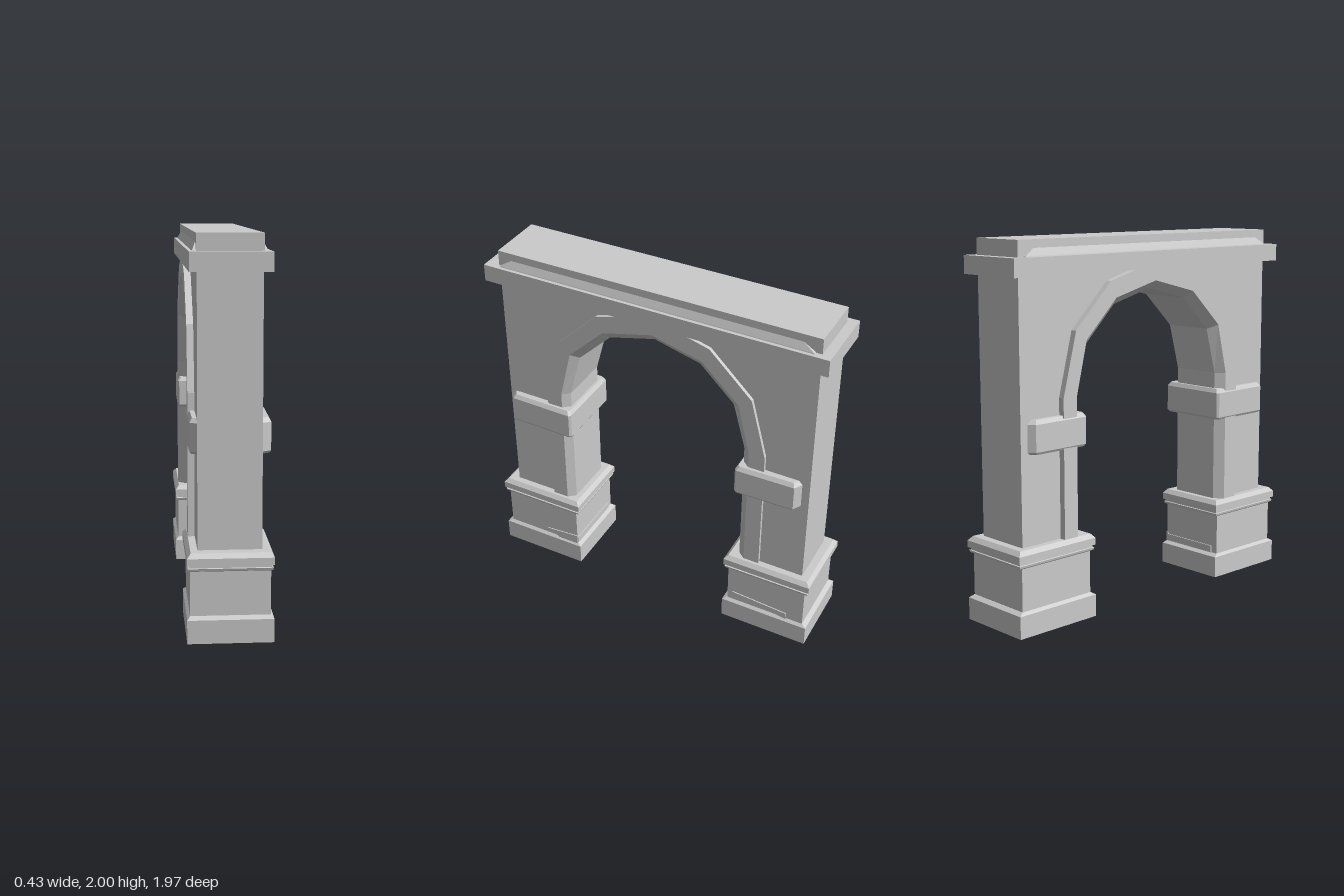
import * as THREE from 'three';

const material = new THREE.MeshStandardMaterial({ color: 0xcccccc, flatShading: true });

// Skin a series of equal closed rings of [x, y, z], with flat end caps.
function loft(rings) {
  const out = [];
  const n = rings[0].length;
  const tri = (a, b, c) => out.push(...a, ...b, ...c);
  for (let i = 0; i < rings.length - 1; i++) {
    for (let j = 0; j < n; j++) {
      const k = (j + 1) % n;
      tri(rings[i][j], rings[i][k], rings[i + 1][k]);
      tri(rings[i][j], rings[i + 1][k], rings[i + 1][j]);
    }
  }
  const first = rings[0], last = rings[rings.length - 1];
  for (let k = 1; k < n - 1; k++) {
    tri(first[0], first[k + 1], first[k]);
    tri(last[0], last[k], last[k + 1]);
  }
  const g = new THREE.BufferGeometry();
  g.setAttribute('position', new THREE.Float32BufferAttribute(out, 3));
  g.computeVertexNormals();
  return g;
}

// Stacked rectangles: levels are [y, halfX, halfZ].
const stack = (levels) => loft(levels.map(([y, hx, hz]) =>
  [[hx, y, hz], [hx, y, -hz], [-hx, y, -hz], [-hx, y, hz]]));

// Extrude a (z, y) outline along x, between x0 and x1.
function slab(points, x0, x1) {
  const shape = new THREE.Shape(points.map(([z, y]) => new THREE.Vector2(z, y)));
  const g = new THREE.ExtrudeGeometry(shape, { depth: x1 - x0, bevelEnabled: false });
  return g.rotateY(-Math.PI / 2).translate(x1, 0, 0);
}

// Half of a pointed arch, mirrored to the other leg.
const ARCH_Z = -0.007;
function archLine(half) {
  const right = half.slice(0, -1).reverse().map(([z, y]) => [-z, y]);
  return [...half, ...right].map(([z, y]) => [z + ARCH_Z, y]);
}

export function createModel() {
  const model = new THREE.Group();
  const add = (name, geometry, z = 0, parent = model) => {
    const mesh = new THREE.Mesh(geometry, material);
    mesh.name = name;
    mesh.position.z = z;
    parent.add(mesh);
    return mesh;
  };

  const inner = archLine([[0.528, 0.44], [0.528, 1.196], [0.458, 1.455], [0.263, 1.645], [0, 1.714]]);
  const middle = archLine([[0.569, 0.44], [0.569, 1.196], [0.5, 1.48], [0.29, 1.683], [0, 1.757]]);
  const outer = archLine([[0.659, 0.44], [0.659, 1.196], [0.571, 1.534], [0.328, 1.772], [0, 1.862]]);

  // Wall with the arched opening cut out of its lower edge
  add('wall', slab([[0.91, 0.44], ...middle, [-0.92, 0.44], [-0.92, 1.9], [0.91, 1.9]], -0.16, 0.16));

  // Raised arch moulding with chamfered lip and the reveal
  add('archMoulding', loft(inner.map((p, i) => {
    const [m, o] = [middle[i], outer[i]];
    return [
      [0.15, ...swap(o)], [0.18, ...swap(o)], [0.18, ...swap(m)], [0.145, ...swap(p)],
      [-0.145, ...swap(p)], [-0.195, ...swap(m)], [-0.195, ...swap(o)], [-0.15, ...swap(o)],
    ];
  })));

  // Cornice, weathered slope and coping
  add('cornice', stack([[1.82, 0.2, 0.98], [1.915, 0.2, 0.98]]), 0.005);
  add('corniceSlope', stack([[1.91, 0.183, 0.895], [1.92, 0.18, 0.89], [1.96, 0.162, 0.825]]), 0.005);
  add('coping', stack([[1.9, 0.163, 0.917], [2, 0.163, 0.917]]), -0.005);

  for (const side of [1, -1]) {
    const pier = new THREE.Group();
    pier.name = side > 0 ? 'frontPier' : 'backPier';
    model.add(pier);

    // Pedestal: plinth, dado and moulded cap
    const z = side * 0.7275;
    add('plinth', stack([[0, 0.215, 0.257], [0.12, 0.215, 0.257], [0.135, 0.2, 0.232]]), z, pier);
    add('dado', stack([[0.12, 0.2, 0.23], [0.37, 0.2, 0.23]]), z, pier);
    add('pedestalCap', stack([
      [0.362, 0.2, 0.235], [0.368, 0.208, 0.248], [0.38, 0.211, 0.252], [0.382, 0.204, 0.245],
      [0.392, 0.204, 0.245], [0.395, 0.215, 0.257], [0.432, 0.215, 0.257], [0.455, 0.196, 0.236],
    ]), z, pier);

    // Impost block wrapping the inner side of the pier, tapered outwards
    const near = side > 0 ? 0.493 : 0.51, far = side > 0 ? 0.9 : 0.88;
    let plan = [
      [0.155, far], [0.205, far - 0.03], [0.212, near + 0.012], [0.2, near],
      [-0.19, near], [-0.2, near + 0.012], [-0.196, far - 0.03], [-0.155, far],
    ];
    if (side < 0) plan = plan.map(([x, pz]) => [x, -pz]).reverse();
    const mid = side * (near + far) / 2;
    add('impost', loft([[0.93, 0.96], [0.943, 1], [1.085, 1], [1.107, 0.93]].map(([y, s]) =>
      plan.map(([x, pz]) => [x * s, y, mid + (pz - mid) * s]))), 0, pier);
  }

  // Thin chipped ledges on the dados
  add('frontChip', slab([[0.495, 0.13], [0.62, 0.13], [0.7, 0.172], [0.495, 0.188]], 0.19, 0.206));
  add('frontInnerChip', new THREE.BoxGeometry(0.36, 0.04, 0.012).translate(0.02, 0.155, 0.497));
  add('backChip', slab([[-0.53, 0.185], [-0.53, 0.195], [-0.86, 0.172], [-0.86, 0.13]], 0.19, 0.206));

  return model;
}

// Profile points are stored as [z, y]; rings need [y, z].
function swap([z, y]) {
  return [y, z];
}
